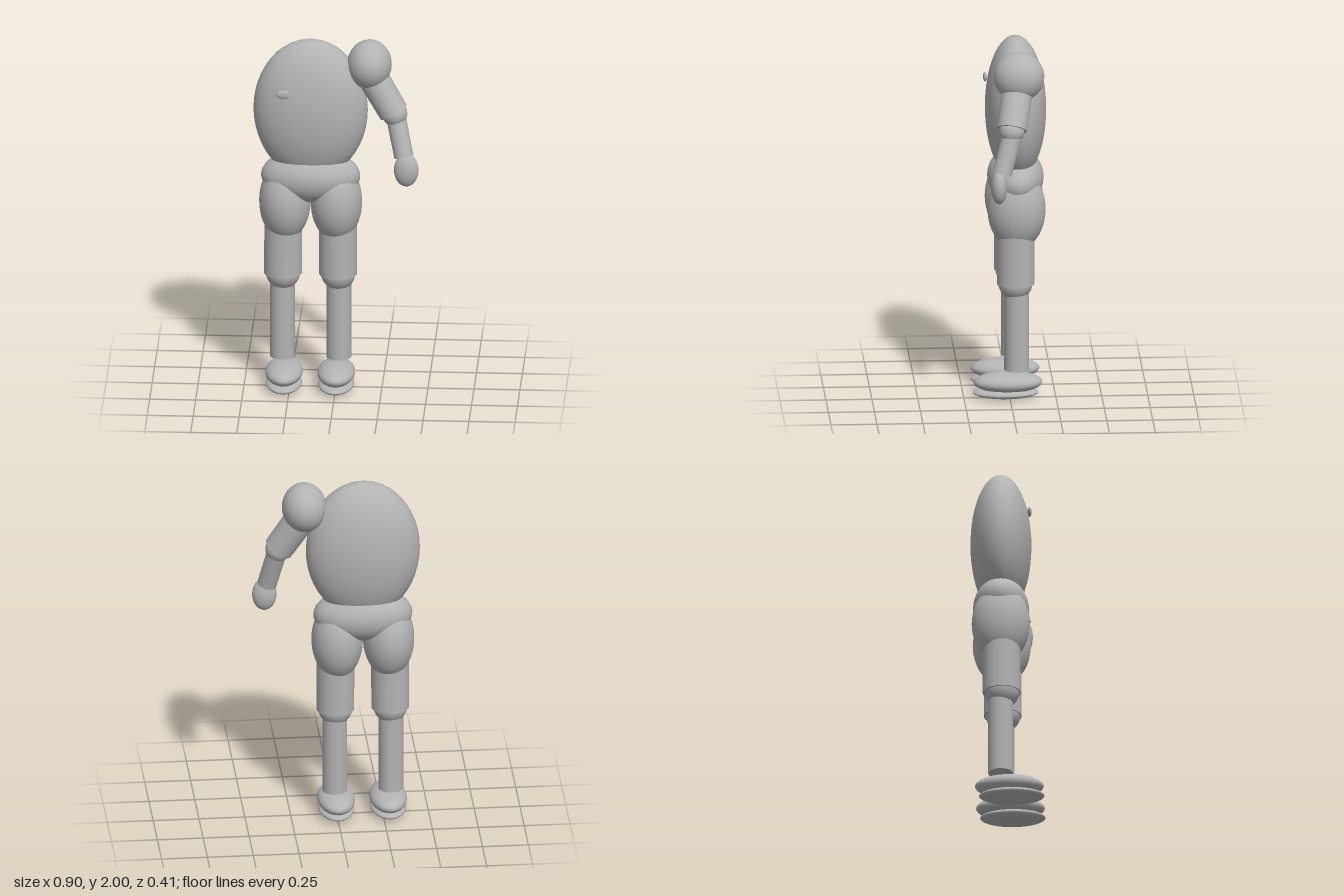
import * as THREE from 'three';

export function createModel() {
  const model = new THREE.Group();
  model.name = 'figure';
  const grey = new THREE.MeshStandardMaterial({ color: 0xb3b3b3 });
  grey.name = 'plain grey';

  const add = (name, geometry, parent) => {
    const mesh = new THREE.Mesh(geometry, grey);
    mesh.name = name;
    parent.add(mesh);
    return mesh;
  };

  // Ellipsoid from a centre and three radii
  const ellipsoid = (name, center, radii, parent = model) => {
    const geometry = new THREE.SphereGeometry(1, 32, 24).scale(...radii);
    const mesh = add(name, geometry, parent);
    mesh.position.set(...center);
    return mesh;
  };

  // Straight limb segment running from its upper end to its lower end
  const limb = (name, top, bottom, rTop, rBottom, parent = model) => {
    const a = new THREE.Vector3(...top);
    const b = new THREE.Vector3(...bottom);
    const axis = a.clone().sub(b);
    const mesh = add(name, new THREE.CylinderGeometry(rTop, rBottom, axis.length(), 32), parent);
    mesh.position.copy(a).add(b).multiplyScalar(0.5);
    mesh.quaternion.setFromUnitVectors(new THREE.Vector3(0, 1, 0), axis.normalize());
    return mesh;
  };

  // Trunk
  const midX = -0.14;
  ellipsoid('torso', [midX, 1.6, -0.039], [0.311, 0.4, 0.166]);
  ellipsoid('pelvis', [midX, 1.215, -0.038], [0.27, 0.148, 0.153]);
  ellipsoid('chestButton', [-0.282, 1.735, 0.119], [0.037, 0.025, 0.011]);

  // Legs, mirrored about the trunk's middle
  for (const [side, s] of [['left', 1], ['right', -1]]) {
    const leg = new THREE.Group();
    leg.name = side + 'Leg';
    leg.position.x = midX;
    model.add(leg);
    ellipsoid('hip', [s * 0.14, 1.065, -0.037], [0.14, 0.225, 0.158], leg);
    limb('thigh', [s * 0.148, 1.0, -0.032], [s * 0.15, 0.648, -0.032], 0.103, 0.103, leg);
    ellipsoid('knee', [s * 0.15, 0.655, -0.03], [0.094, 0.096, 0.094], leg);
    limb('shin', [s * 0.153, 0.65, -0.037], [s * 0.153, 0.165, -0.037], 0.068, 0.068, leg);
    ellipsoid('foot', [s * 0.142, 0.092, 0.01], [0.102, 0.057, 0.187], leg);
    ellipsoid('sole', [s * 0.142, 0.034, 0.023], [0.098, 0.03, 0.178], leg);
  }

  // Single arm on the left side
  const arm = new THREE.Group();
  arm.name = 'leftArm';
  model.add(arm);
  ellipsoid('shoulder', [0.18, 1.862, -0.04], [0.121, 0.136, 0.138], arm);
  limb('upperArm', [0.2, 1.79, -0.03], [0.315, 1.602, 0.006], 0.085, 0.081, arm);
  ellipsoid('elbow', [0.318, 1.597, 0.006], [0.07, 0.07, 0.07], arm);
  limb('forearm', [0.325, 1.58, 0.002], [0.373, 1.367, 0.063], 0.054, 0.053, arm);
  ellipsoid('hand', [0.386, 1.298, 0.08], [0.067, 0.094, 0.044], arm);

  return model;
}
